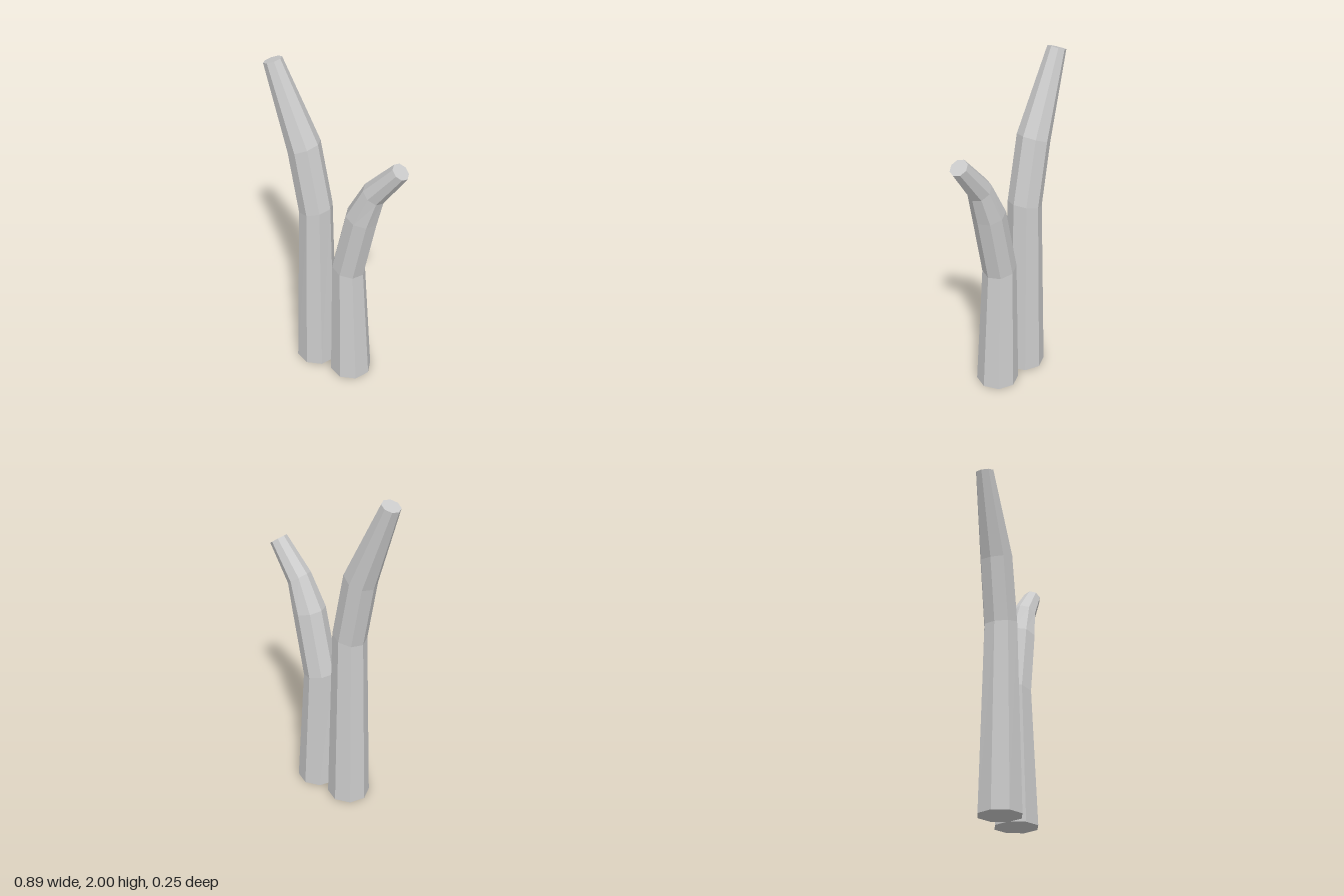
import * as THREE from 'three';

const material = new THREE.MeshStandardMaterial({ color: 0xcccccc, flatShading: true });

// Rings run from the ground up: [centre x, centre y, radius, tilt as rise over run across the ring]
function makeStalk(name, rings) {
  const last = rings.length - 1;
  const geometry = new THREE.CylinderGeometry(1, 1, 1, 8, last);
  const p = geometry.attributes.position;
  for (let i = 0; i < p.count; i++) {
    const [cx, cy, r, slope] = rings[Math.round((p.getY(i) + 0.5) * last)];
    const a = Math.atan(slope);
    const across = p.getX(i) * r;
    p.setXYZ(i, cx + across * Math.cos(a), cy + across * Math.sin(a), p.getZ(i) * r);
  }
  const flat = geometry.toNonIndexed();
  flat.computeVertexNormals();
  const mesh = new THREE.Mesh(flat, material);
  mesh.name = name;
  return mesh;
}

export function createModel() {
  const group = new THREE.Group();
  group.name = 'twinStalks';
  group.add(
    // Tall stalk leaning to -x
    makeStalk('tallStalk', [
      [-0.135, 0, 0.126, 0],
      [-0.133, 1.115, 0.1, 0.25],
      [-0.205, 1.503, 0.098, 0.4],
      [-0.395, 1.982, 0.054, 0.36],
    ]),
    // Short stalk curving to +x
    makeStalk('shortStalk', [
      [0.11, 0, 0.126, 0],
      [0.088, 0.778, 0.1, -0.22],
      [0.172, 1.167, 0.096, -0.25],
      [0.245, 1.348, 0.073, -0.75],
      [0.401, 1.542, 0.053, -0.76],
    ]),
  );
  return group;
}
